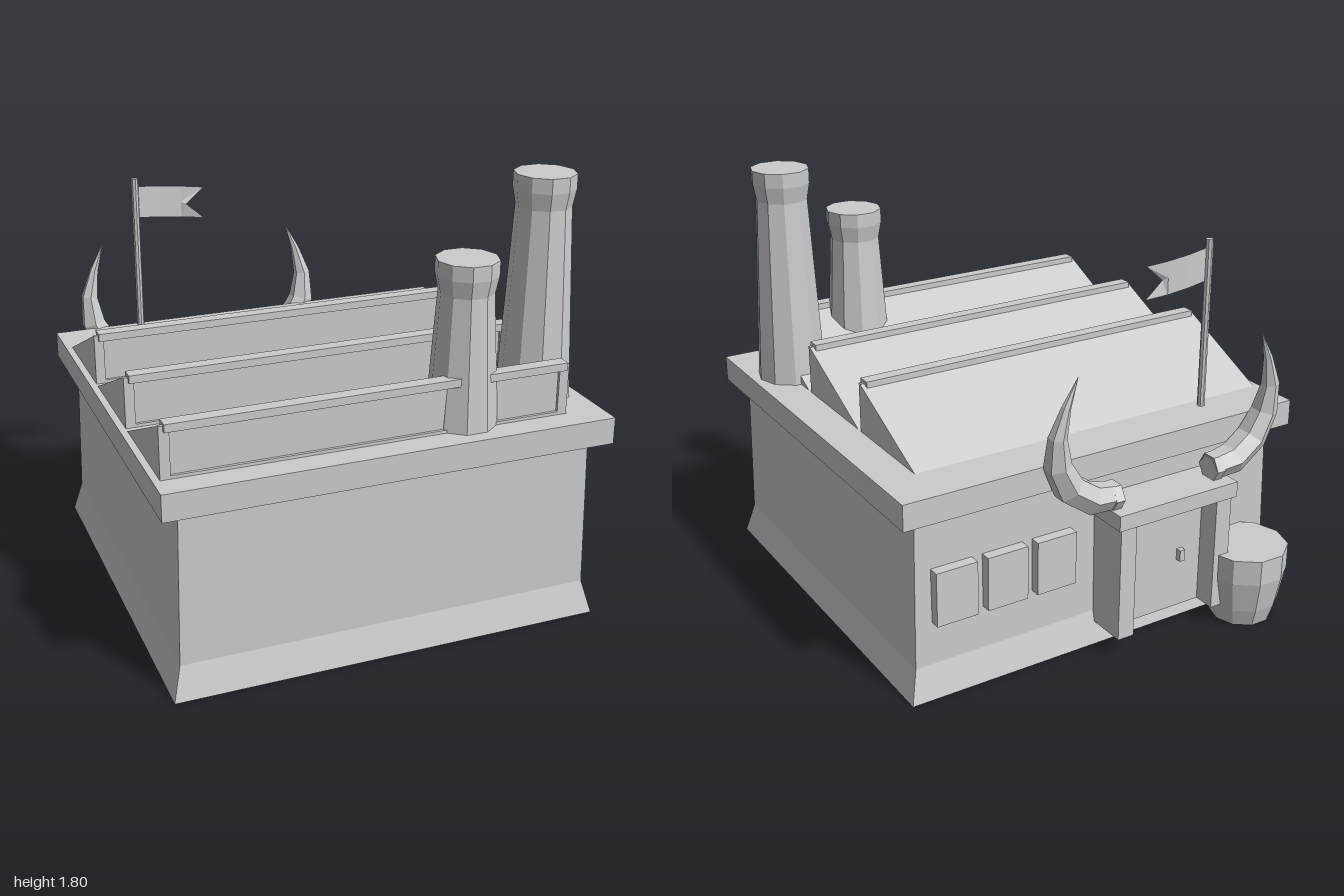
import * as THREE from 'three';

// One colour throughout; double sided for the flag cloth and hollow foot
const grey = new THREE.MeshStandardMaterial({
  color: 0xcccccc, flatShading: true, side: THREE.DoubleSide,
});
grey.name = 'plain grey';

function add(parent, name, geometry, x = 0, y = 0, z = 0) {
  const mesh = new THREE.Mesh(geometry, grey);
  mesh.name = name;
  mesh.position.set(x, y, z);
  parent.add(mesh);
}

// Box given by its min and max on each axis
function block(parent, name, x0, x1, y0, y1, z0, z1) {
  add(parent, name, new THREE.BoxGeometry(x1 - x0, y1 - y0, z1 - z0),
    (x0 + x1) / 2, (y0 + y1) / 2, (z0 + z1) / 2);
}

// Closed ten-sided turned solid from [radius, y] rows, flats facing front and back
function turned(parent, name, rows, x, y, z) {
  const points = [[0, rows[0][1]], ...rows, [0, rows[rows.length - 1][1]]];
  const geometry = new THREE.LatheGeometry(points.map(([r, h]) => new THREE.Vector2(r, h)), 10);
  geometry.rotateY(Math.PI / 2);
  geometry.scale(1, 1, 1.04);
  add(parent, name, geometry, x, y, z);
}

// Four sloping walls between two [y, half width, half depth] rows
function slopedWalls(parent, name, bottom, top, open) {
  const geometry = new THREE.CylinderGeometry(1, 1, 2, 4, 1, open);
  geometry.rotateY(Math.PI / 4);
  const p = geometry.attributes.position;
  for (let i = 0; i < p.count; i++) {
    const [y, hx, hz] = p.getY(i) < 0 ? bottom : top;
    p.setXYZ(i, Math.round(p.getX(i) * 1.4) * hx, y, Math.round(p.getZ(i) * 1.4) * hz);
  }
  geometry.computeVertexNormals();
  add(parent, name, geometry, 0, 0, 0.135);
}

// One sawtooth bay: sloped wedge, framed upright front and capping beam
function sawtooth(parent, z) {
  const bay = new THREE.Group();
  bay.name = 'sawtoothRoof';
  bay.position.z = z;
  const profile = new THREE.Shape();
  profile.moveTo(0.03, 0.88);
  profile.lineTo(0.475, 0.88);
  profile.lineTo(0.03, 1.088);
  profile.closePath();
  const wedge = new THREE.ExtrudeGeometry(profile, { depth: 1.65, bevelEnabled: false });
  wedge.rotateY(Math.PI / 2); // profile runs towards the back
  add(bay, 'roofWedge', wedge, -0.89, 0, 0);
  for (const [x0, x1] of [[-0.89, -0.85], [0.72, 0.76]]) {
    block(bay, 'framePost', x0, x1, 0.88, 1.09, -0.032, -0.018);
  }
  block(bay, 'frameSill', -0.85, 0.72, 0.88, 0.893, -0.032, -0.018);
  block(bay, 'ridgeBeam', -0.873, 0.743, 1.07, 1.102, -0.056, 0);
  parent.add(bay);
}

// Curved horn, tapering to a point; side = 1 or -1 from the door centre
function horn(parent, side) {
  const rows = [
    [0.23, 0.7, -0.77, 0.055], [0.34, 0.71, -0.77, 0.066], [0.44, 0.77, -0.765, 0.067],
    [0.502, 0.87, -0.768, 0.06], [0.52, 1.0, -0.782, 0.04], [0.497, 1.11, -0.792, 0.023],
    [0.443, 1.25, -0.8, 0.001],
  ];
  const path = new THREE.CatmullRomCurve3(
    rows.map(([x, y, z]) => new THREE.Vector3(side * x - 0.227, y, z)));
  const steps = 6, sides = 6;
  const geometry = new THREE.TubeGeometry(path, steps, 1, sides);
  const p = geometry.attributes.position;
  const v = new THREE.Vector3();
  for (let i = 0; i < p.count; i++) {
    const t = Math.floor(i / (sides + 1)) / steps;
    const s = path.getUtoTmapping(t) * (rows.length - 1);
    const k = Math.min(Math.floor(s), rows.length - 2);
    const radius = THREE.MathUtils.lerp(rows[k][3], rows[k + 1][3], s - k);
    const centre = path.getPointAt(t);
    v.fromBufferAttribute(p, i).sub(centre).multiplyScalar(radius).add(centre);
    p.setXYZ(i, v.x, v.y, v.z);
  }
  geometry.computeVertexNormals();
  add(parent, 'horn', geometry);
  // Collar closing the root of the horn
  const collar = new THREE.CylinderGeometry(0.062, 0.062, 0.04, 6);
  collar.rotateZ(Math.PI / 2);
  add(parent, 'hornCollar', collar, side * 0.25 - 0.227, 0.7, -0.77);
}

function doorway(parent) {
  const door = new THREE.Group();
  door.name = 'doorway';
  block(door, 'doorPanel', -0.45, -0.03, 0.09, 0.6, -0.76, -0.64);
  block(door, 'doorPost', -0.04, 0.035, 0.09, 0.6, -0.855, -0.64);
  block(door, 'doorPost', -0.515, -0.44, 0.09, 0.6, -0.855, -0.64);
  block(door, 'lintel', -0.535, 0.05, 0.588, 0.655, -0.865, -0.64);
  block(door, 'doorHandle', -0.345, -0.32, 0.31, 0.36, -0.785, -0.755);
  horn(door, 1);
  horn(door, -1);
  parent.add(door);
}

// Pole and swallow-tailed pennant with a slight ripple
function flag(parent) {
  add(parent, 'flagPole', new THREE.CylinderGeometry(0.016, 0.016, 0.74, 8), -0.565, 1.23, -0.57);
  const cloth = new THREE.PlaneGeometry(1, 1, 3, 2);
  const p = cloth.attributes.position;
  for (let i = 0; i < p.count; i++) {
    const u = p.getX(i) + 0.5, w = p.getY(i) * 2;
    const notch = u > 0.99 && Math.abs(w) < 0.01 ? 0.08 : 0;
    p.setXYZ(i, -0.555 + 0.3 * u - notch, 1.495 - 0.03 * u + 0.07 * w,
      -0.57 - 0.015 * Math.sin(u * Math.PI));
  }
  cloth.computeVertexNormals();
  add(parent, 'flagCloth', cloth);
}

export function createModel() {
  const model = new THREE.Group();
  model.name = 'factory';

  // Main walls closed by a raised floor, standing on a hollow flared foot
  const floorRow = [0.137, 0.857, 0.81];
  slopedWalls(model, 'walls', floorRow, [0.78, 0.842, 0.8], false);
  slopedWalls(model, 'flaredFoot', [0, 0.892, 0.846], floorRow, true);
  block(model, 'roofSlab', -0.918, 0.918, 0.77, 0.88, -0.728, 1.0);
  for (const z of [0.91, 0.43, -0.05]) sawtooth(model, z);

  // Chimneys with a flared mouth
  turned(model, 'tallChimney',
    [[0.148, 0], [0.109, 0.79], [0.122, 0.86], [0.122, 0.92]], 0.738, 0.88, 0.662);
  turned(model, 'shortChimney',
    [[0.141, 0], [0.108, 0.53], [0.122, 0.6], [0.122, 0.66]], 0.345, 0.88, 0.8);

  flag(model);
  doorway(model);

  // Row of windows beside the door
  for (let i = 0; i < 3; i++) {
    const x = 0.69 - i * 0.225;
    block(model, 'window', x - 0.09, x + 0.09, 0.32, 0.55, -0.715, -0.65);
  }

  // Barrel by the door
  turned(model, 'barrel',
    [[0.128, 0], [0.153, 0.08], [0.18, 0.22], [0.18, 0.33]], -0.635, 0, -0.817);
  return model;
}
